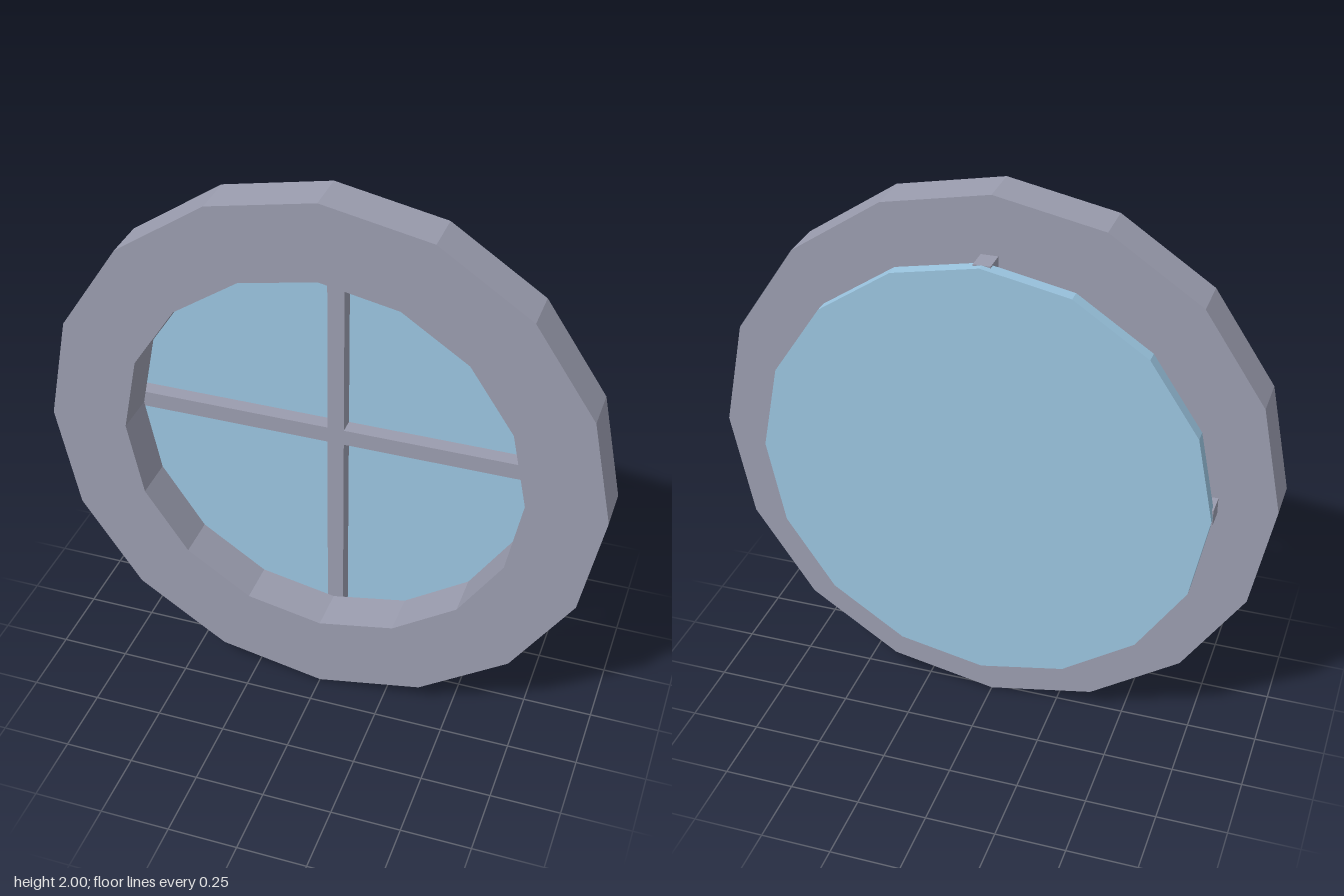
import * as THREE from 'three';

const SIDES = 16;

// Points of a regular polygon with one corner at the top
function polygon(radius) {
  return Array.from({ length: SIDES }, (_, i) => {
    const a = Math.PI / 2 + (i / SIDES) * Math.PI * 2;
    return new THREE.Vector2(Math.cos(a) * radius, Math.sin(a) * radius);
  });
}

// Flat-sided slab between two depths, with an optional polygonal hole
function slab(radius, zBack, zFront, holeRadius) {
  const shape = new THREE.Shape(polygon(radius));
  if (holeRadius) shape.holes.push(new THREE.Path(polygon(holeRadius)));
  const geometry = new THREE.ExtrudeGeometry(shape, { depth: zFront - zBack, bevelEnabled: false });
  return geometry.translate(0, 0, zBack);
}

export function createModel() {
  const model = new THREE.Group();
  model.name = 'roundWindow';

  const frameGrey = new THREE.MeshStandardMaterial({ color: 0x9a9cae });
  frameGrey.name = 'frameGrey';
  const glassBlue = new THREE.MeshStandardMaterial({ color: 0x9ac4df });
  glassBlue.name = 'glassBlue';

  const add = (name, geometry, material) => {
    const mesh = new THREE.Mesh(geometry, material);
    mesh.name = name;
    mesh.position.y = 1;
    model.add(mesh);
    return mesh;
  };

  // Outer ring and the pane behind it
  add('frameRing', slab(1, -0.018, 0.142, 0.72), frameGrey);
  add('glassPane', slab(0.8, -0.142, -0.095), glassBlue);

  // Crossing glazing bars, partly sunk into the pane
  add('verticalBar', new THREE.BoxGeometry(0.06, 1.6, 0.08), frameGrey).position.z = -0.078;
  add('horizontalBar', new THREE.BoxGeometry(1.6, 0.06, 0.08), frameGrey).position.z = -0.078;

  return model;
}
